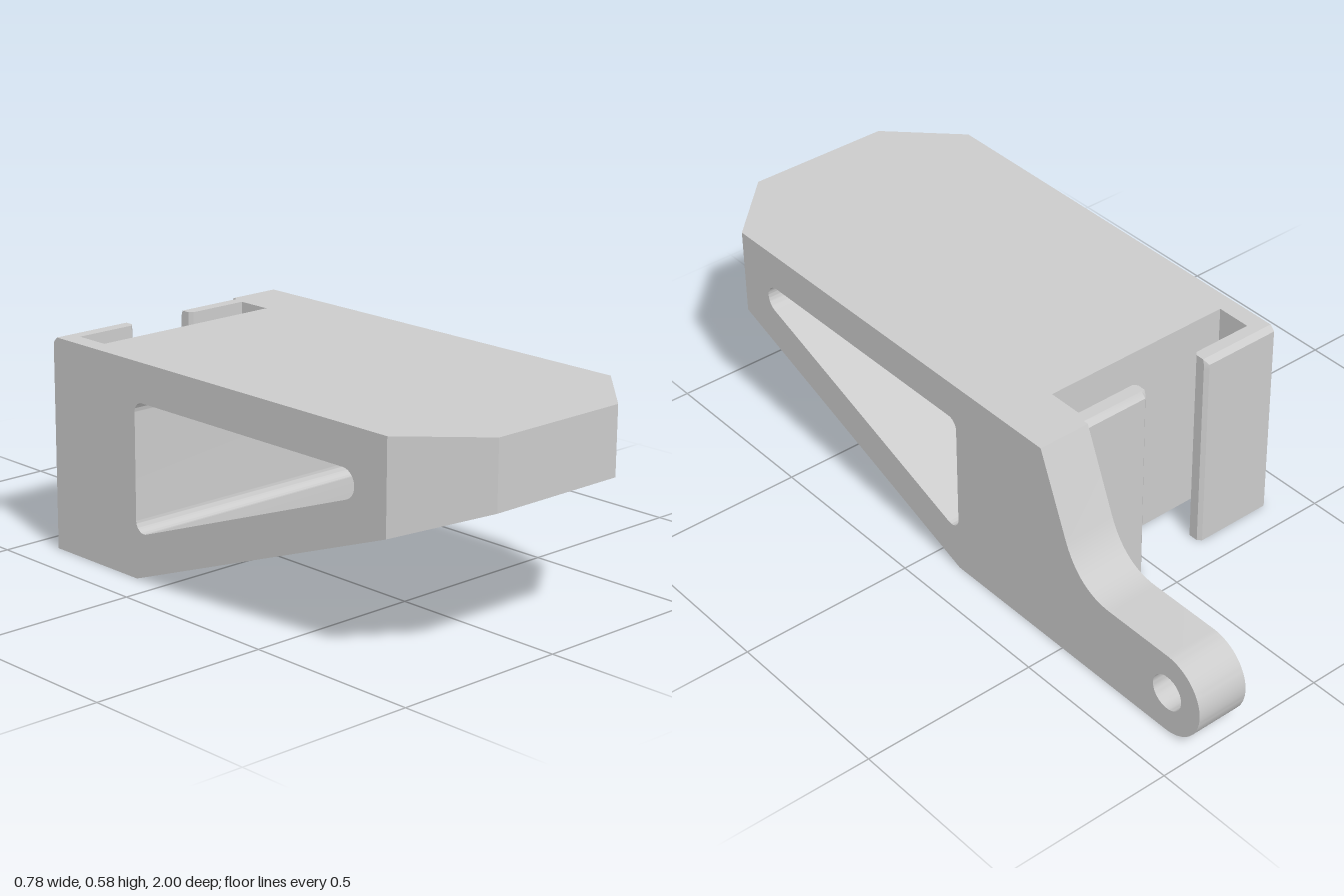
import * as THREE from 'three';
import { toCreasedNormals } from 'three/addons/utils/BufferGeometryUtils.js';
import { ConvexGeometry } from 'three/addons/geometries/ConvexGeometry.js';

const W = 0.39, H = 0.585, BACK = 0.27, REAR = 0.418, NOSE = 0.82;
const material = new THREE.MeshStandardMaterial({ color: 0xcccccc });

function makeMesh(name, geometry) {
  const mesh = new THREE.Mesh(toCreasedNormals(geometry, 0.5), material);
  mesh.name = name;
  return mesh;
}

// Extrudes a side profile, drawn as (-z, y), from x0 to x1.
function extrudeAcross(shape, x0, x1) {
  return new THREE.ExtrudeGeometry(shape, { depth: x1 - x0, bevelEnabled: false, curveSegments: 20 })
    .rotateY(Math.PI / 2).translate(x0, 0, 0);
}

const polygon = (pts) => new THREE.Shape(pts.map(([x, y]) => new THREE.Vector2(x, y)));

// Main block with a rounded triangular window running right through
function makeBody() {
  const shape = polygon([[-NOSE, 0.335], [0.09, 0], [BACK, 0], [BACK, H], [-NOSE, H]]);
  const slope = Math.PI + 1.219;
  const hole = new THREE.Path();
  hole.absarc(-0.673, 0.438, 0.04, Math.PI / 2, slope, false);
  hole.absarc(0.06, 0.158, 0.03, slope, Math.PI * 2, false);
  hole.absarc(0.06, 0.448, 0.03, 0, Math.PI / 2, false);
  hole.closePath();
  shape.holes.push(hole);
  return makeMesh('body', extrudeAcross(shape, -W, W));
}

// Tapered front end with two corner chamfers
function makeNose() {
  const points = [];
  for (const side of [-1, 1]) {
    points.push(
      new THREE.Vector3(side * W, 0.335, NOSE), new THREE.Vector3(side * W, H, NOSE),
      new THREE.Vector3(side * 0.208, 0.401, 1), new THREE.Vector3(side * 0.208, H, 1));
  }
  return makeMesh('nose', new ConvexGeometry(points));
}

// Rear side plate that drops into a rounded lug with a pin hole
function makeArm() {
  const shape = new THREE.Shape();
  shape.moveTo(BACK, 0);
  shape.lineTo(0.882, 0);
  shape.absarc(0.882, 0.118, 0.118, -Math.PI / 2, Math.PI / 2, false);
  shape.lineTo(0.675, 0.236);
  shape.quadraticCurveTo(0.56, 0.236, 0.51, 0.36);
  shape.lineTo(REAR, H);
  shape.lineTo(BACK, H);
  shape.closePath();
  const hole = new THREE.Path();
  hole.absarc(0.885, 0.12, 0.05, 0, Math.PI * 2, true);
  shape.holes.push(hole);
  return makeMesh('arm', extrudeAcross(shape, 0.24, W));
}

// L-shaped rail beside the rear slot, its lip chamfered along the top
function makeRail(name, outer, inner, tip) {
  const c = 0.01 * Math.sign(tip - outer), lip = 0.37;
  const shape = polygon([
    [outer, BACK], [inner, BACK], [inner, lip], [tip - c, lip], [tip, lip + 0.01],
    [tip, REAR - 0.01], [tip - c, REAR], [outer, REAR]]);
  const geometry = new THREE.ExtrudeGeometry(shape, { depth: H, steps: 40, bevelEnabled: false })
    .rotateX(-Math.PI / 2);
  const pos = geometry.attributes.position;
  for (let i = 0; i < pos.count; i++) {
    if (pos.getY(i) > H - 0.001 && pos.getZ(i) < -0.404) pos.setZ(i, -0.404);
  }
  return makeMesh(name, geometry);
}

export function createModel() {
  const group = new THREE.Group();
  group.name = 'slottedBracket';
  group.add(
    makeBody(), makeNose(), makeArm(),
    makeRail('rightRail', -W, -0.34, -0.155),
    makeRail('leftRail', 0.24, 0.228, 0.042));
  return group;
}
